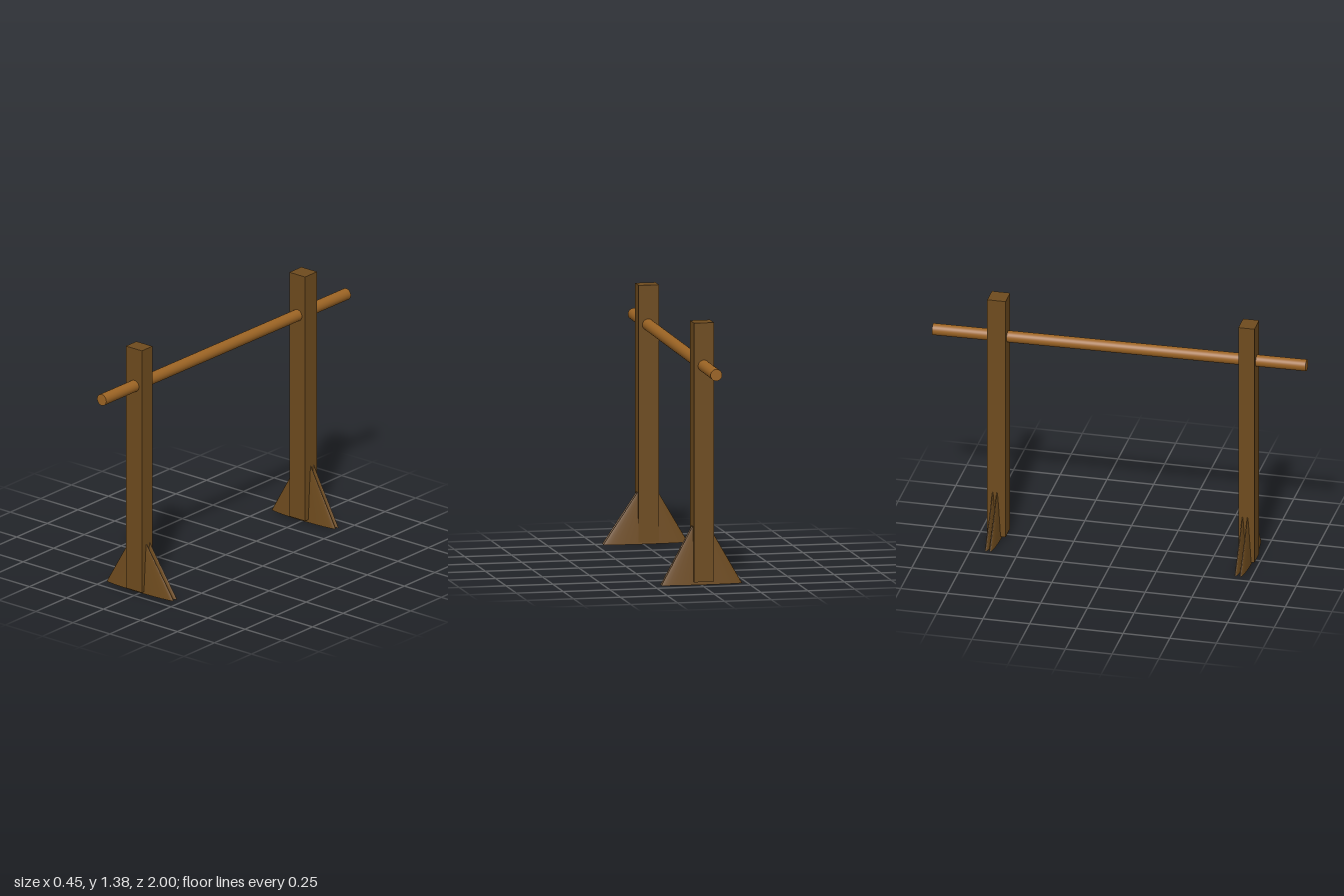
import * as THREE from 'three';

const postWood = new THREE.MeshStandardMaterial({ color: 0x6e4b1e });
const barWood = new THREE.MeshStandardMaterial({ color: 0x9c6424 });

// Flattened cone whose tip may lean sideways from the base centre
function brace({ left, right, base, tipX, tipY, z }) {
  const h = tipY - base, mid = (left + right) / 2;
  const g = new THREE.ConeGeometry(1, 1, 32);
  g.translate(0, 0.5, 0);
  g.scale((right - left) / 2, h, 0.021);
  const p = g.attributes.position;
  for (let i = 0; i < p.count; i++) {
    p.setX(i, p.getX(i) + mid + (tipX - mid) * p.getY(i) / h);
  }
  g.computeVertexNormals();
  g.translate(0, base, z);
  const mesh = new THREE.Mesh(g, postWood);
  mesh.name = 'footBrace';
  return mesh;
}

// Square post standing between a pair of thin braces
function stand(name, post, foot, braceZ) {
  const group = new THREE.Group();
  group.name = name;
  const g = new THREE.BoxGeometry(post.w, post.top - post.bottom, post.d);
  const mesh = new THREE.Mesh(g, postWood);
  mesh.name = 'post';
  mesh.position.set(post.x, (post.top + post.bottom) / 2, post.z);
  group.add(mesh);
  for (const z of braceZ) group.add(brace({ ...foot, z }));
  return group;
}

export function createModel() {
  const model = new THREE.Group();
  model.name = 'barRack';

  model.add(stand('frontStand',
    { x: -0.015, z: 0.69, w: 0.108, d: 0.086, bottom: 0.02, top: 1.375 },
    { left: -0.228, right: 0.224, base: 0.009, tipX: -0.018, tipY: 0.367 },
    [0.669, 0.696]));
  model.add(stand('backStand',
    { x: -0.013, z: -0.649, w: 0.106, d: 0.098, bottom: 0.016, top: 1.383 },
    { left: -0.222, right: 0.209, base: 0, tipX: 0, tipY: 0.385 },
    [-0.669, -0.646]));

  // Round bar through both posts, dropping slightly to the back
  const bar = new THREE.Mesh(new THREE.CylinderGeometry(0.031, 0.031, 2, 32), barWood);
  bar.name = 'crossBar';
  bar.position.set(-0.012, 1.161, 0);
  bar.rotation.x = Math.PI / 2 - 0.0075;
  model.add(bar);

  return model;
}
